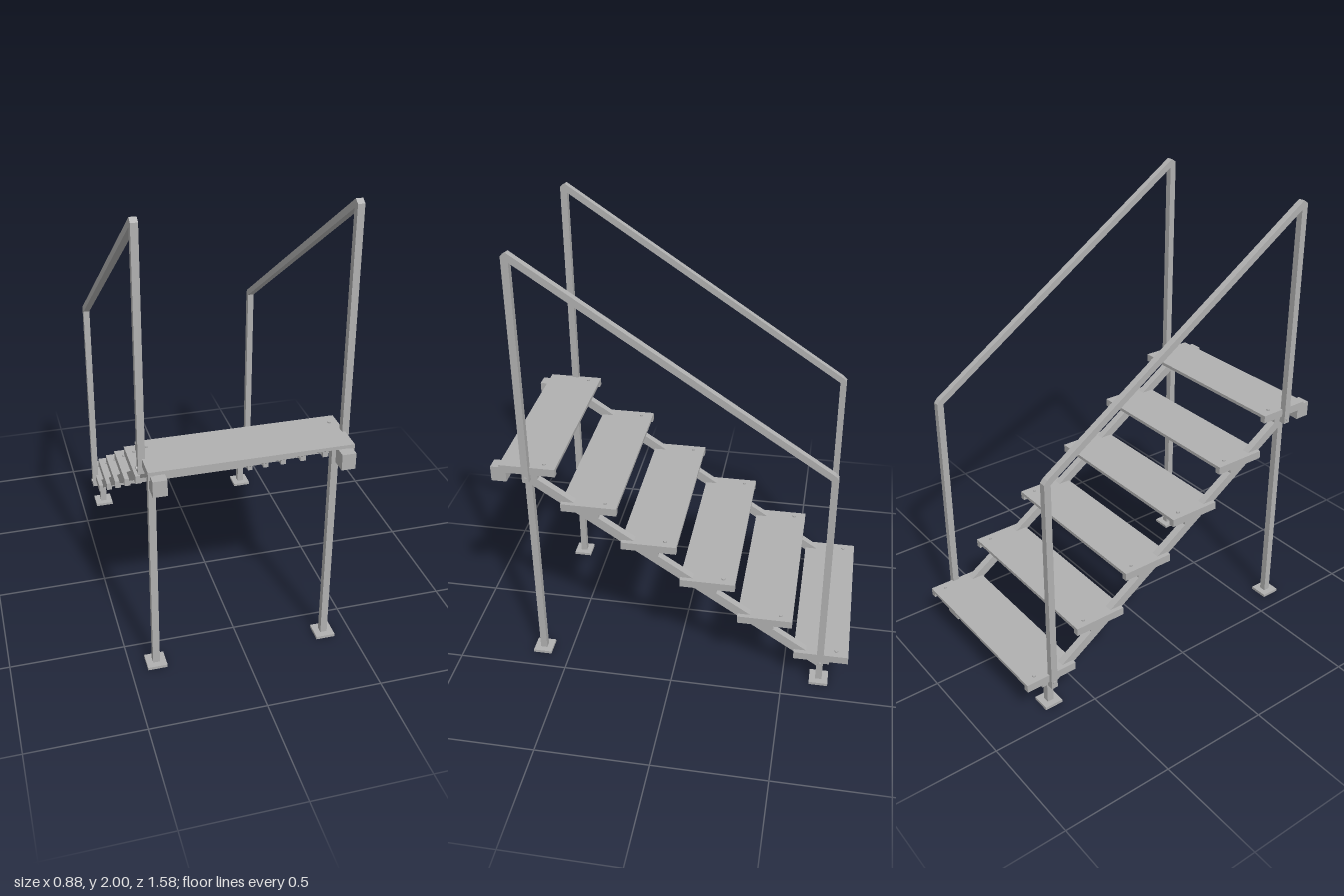
import * as THREE from 'three';

export function createModel() {
  const model = new THREE.Group();
  model.name = 'staircase';
  const steel = new THREE.MeshStandardMaterial({ color: 0xb0b0b0 });
  steel.name = 'grey steel';

  const add = (parent, name, geometry, x = 0, y = 0, z = 0) => {
    const mesh = new THREE.Mesh(geometry, steel);
    mesh.name = name;
    mesh.position.set(x, y, z);
    parent.add(mesh);
    return mesh;
  };
  const box = (parent, name, w, h, d, x, y, z) =>
    add(parent, name, new THREE.BoxGeometry(w, h, d), x, y, z);

  // Side profile given as (z, y) points, given thickness across x
  const profile = (parent, name, points, width, x) => {
    const shape = new THREE.Shape(points.map(([z, y]) => new THREE.Vector2(z, y)));
    const geo = new THREE.ExtrudeGeometry(shape, { depth: width, bevelEnabled: false });
    geo.translate(0, 0, -width / 2).rotateY(-Math.PI / 2);
    return add(parent, name, geo, x);
  };

  const highZ = 0.63, lowZ = -0.665;
  const stairs = new THREE.Group();
  stairs.name = 'stairs';
  stairs.position.x = -0.005;
  model.add(stairs);

  for (const s of [1, -1]) {
    const side = new THREE.Group();
    side.name = s > 0 ? 'leftSide' : 'rightSide';
    stairs.add(side);

    // Sloping stringer under the treads
    profile(side, 'stringer', [
      [0.645, 0.955], [0.645, 0.975], [0.60, 0.975],
      [-0.62, 0.163], [-0.68, 0.123], [-0.68, 0.11], [-0.65, 0.093], [0.615, 0.937],
    ], 0.034, s * 0.381);

    // Handrail: two posts joined by a sloping rail
    profile(side, 'handrail', [
      [0.645, 0.97], [0.645, 1.985], [0.622, 2.0], [-0.665, 1.142], [-0.68, 1.125],
      [-0.68, 0.11], [-0.65, 0.11], [-0.65, 1.118], [0.615, 1.961], [0.615, 0.97],
    ], 0.029, s * 0.42);

    // Legs, foot plates and the bolts holding the handrail posts
    for (const [z, top] of [[highZ, 0.97], [lowZ, 0.12]]) {
      box(side, 'leg', 0.03, top, 0.03, s * 0.382, top / 2, z);
      box(side, 'footPlate', 0.085, 0.013, 0.085, s * 0.382, 0.0065, z);
      const bolt = new THREE.CylinderGeometry(0.008, 0.008, 0.04, 8).rotateZ(Math.PI / 2);
      add(side, 'postBolt', bolt, s * 0.42, top + 0.02, z);
    }

    // Mounting block behind the top tread
    box(side, 'mountingBlock', 0.058, 0.07, 0.067, s * 0.38, 0.985, 0.757);
  }

  // Treads with end bars, brackets and bolts
  for (let i = 0; i < 6; i++) {
    const tread = new THREE.Group();
    tread.name = 'step' + (i + 1);
    tread.position.set(0, 0.176 + i * 0.1722, -0.667 + i * 0.2588);
    stairs.add(tread);
    box(tread, 'tread', 0.83, 0.015, 0.245, 0, -0.0075, 0);
    for (const s of [1, -1]) {
      box(tread, 'endBar', 0.026, 0.036, 0.245, s * 0.405, -0.018, 0);
      box(tread, 'bracket', 0.044, 0.03, 0.07, s * 0.379, -0.05, -0.005);
      box(tread, 'bracketPlate', 0.044, 0.021, 0.12, s * 0.379, -0.0255, -0.005);
      add(tread, 'treadBolt', new THREE.CylinderGeometry(0.008, 0.008, 0.006, 8), s * 0.383, 0.003, -0.068);
    }
  }
  return model;
}
